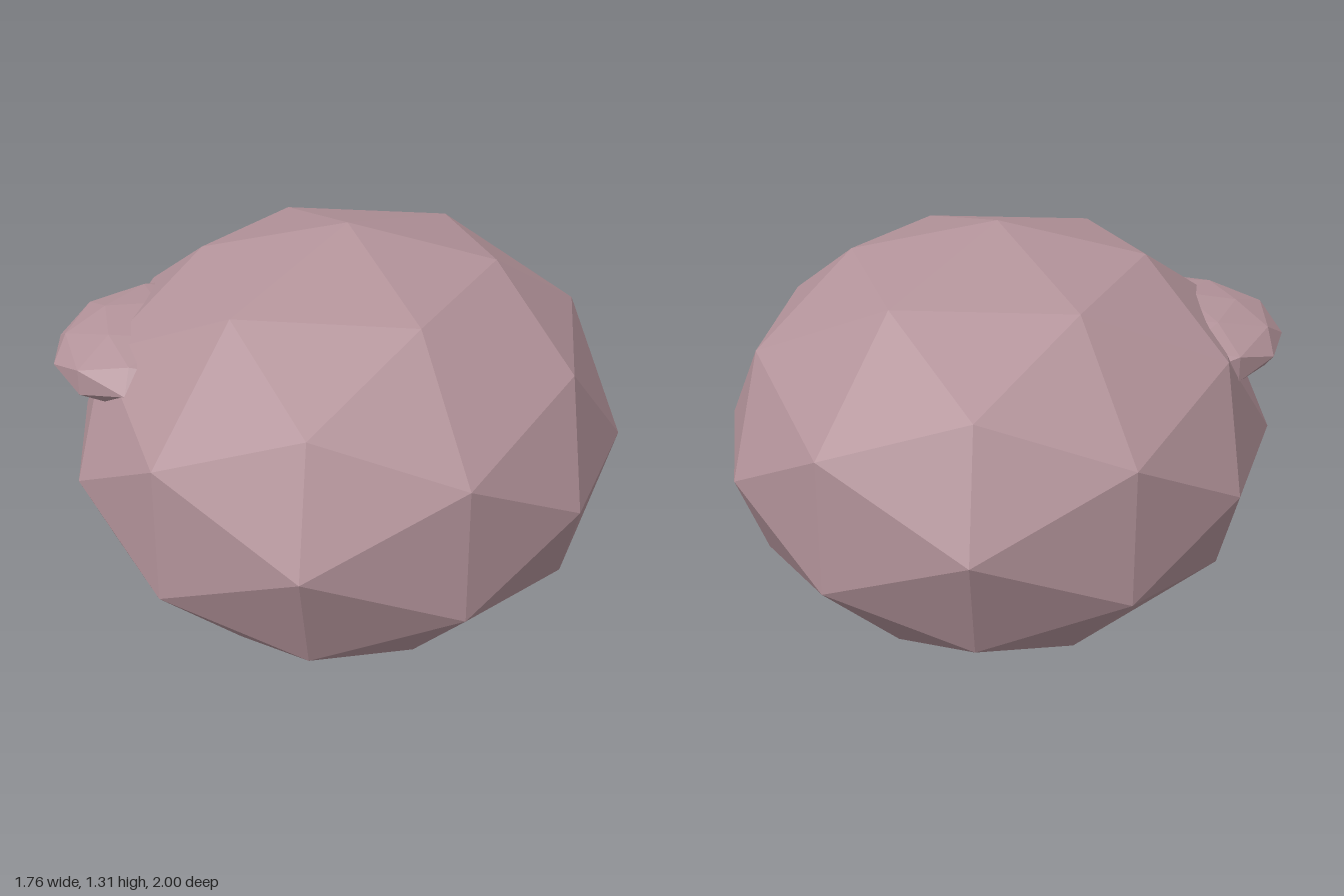
import * as THREE from 'three';

// Faceted ellipsoid: a once-subdivided icosahedron stretched along each axis
function facetedEllipsoid(name, radii, centre, material) {
  const geometry = new THREE.IcosahedronGeometry(1, 1);
  geometry.scale(...radii);
  geometry.computeVertexNormals();
  const mesh = new THREE.Mesh(geometry, material);
  mesh.name = name;
  mesh.position.set(...centre);
  return mesh;
}

export function createModel() {
  const group = new THREE.Group();
  group.name = 'boulder';

  const stone = new THREE.MeshStandardMaterial({ color: 0xb3939a, flatShading: true });
  stone.name = 'dusty pink stone';

  // Main rock
  group.add(facetedEllipsoid('body', [0.861, 0.655, 1], [0.016, 0.655, 0], stone));
  // Flat lump half sunk into the upper right side
  group.add(facetedEllipsoid('sideLump', [0.32, 0.125, 0.42], [-0.56, 0.935, 0.1], stone));

  return group;
}
